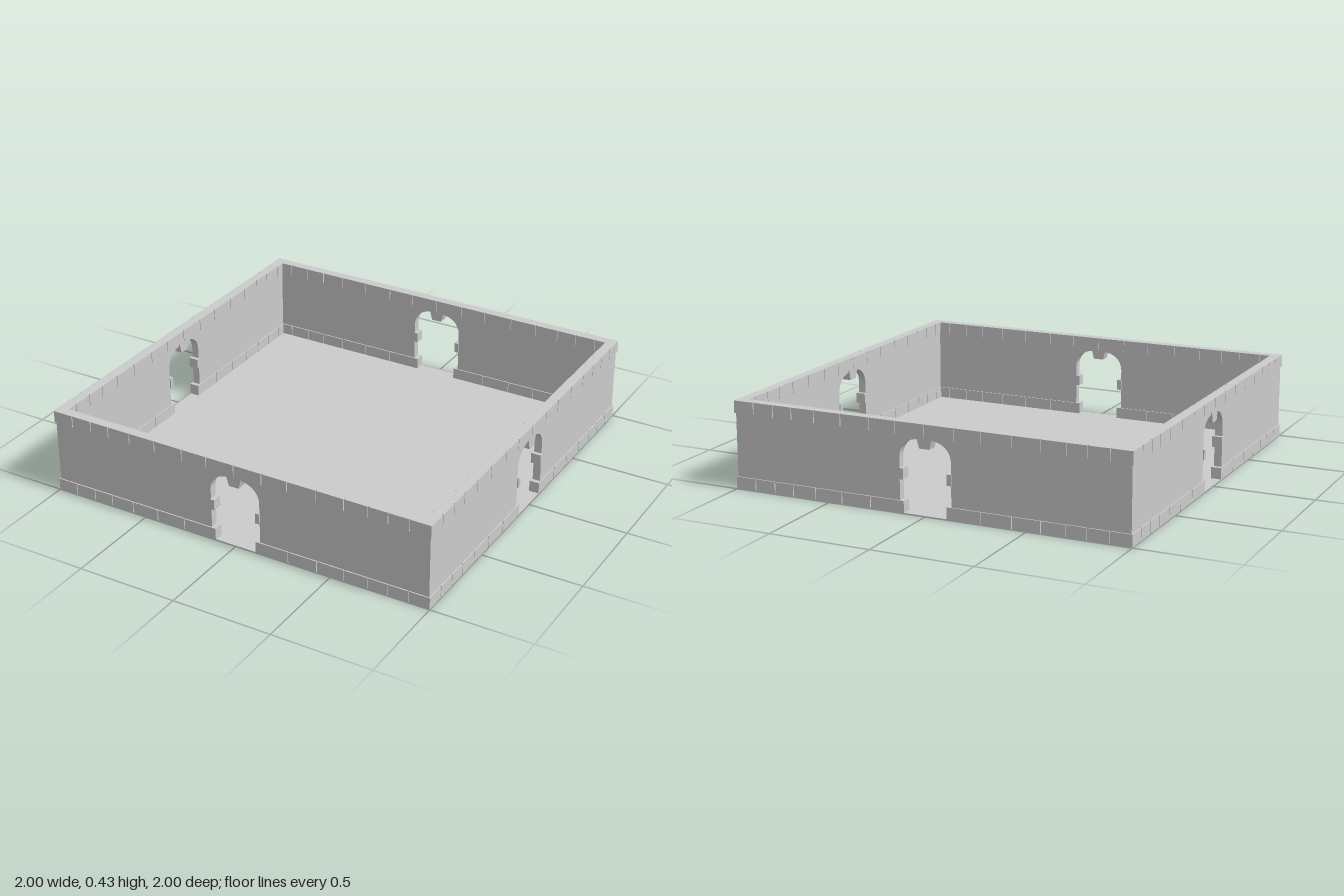
import * as THREE from 'three';

const H = 0.428, T = 0.05, INSET = 0.006, BAND = 0.06, GAP = 0.004;
const material = new THREE.MeshStandardMaterial({ color: 0xcccccc, flatShading: true });

function mesh(name, geometry, parent) {
  const m = new THREE.Mesh(geometry, material);
  m.name = name;
  parent.add(m);
  return m;
}

// Box between x0..x1 and y0..y1, spanning the full wall thickness
function stone(name, x0, x1, y0, y1, parent, depth = T) {
  const m = mesh(name, new THREE.BoxGeometry(x1 - x0, y1 - y0, depth), parent);
  m.position.set((x0 + x1) / 2, (y0 + y1) / 2, 0);
}

// Flat shape given depth, centred on z = 0
function slab(shape, depth) {
  const g = new THREE.ExtrudeGeometry(shape, { depth, bevelEnabled: false, curveSegments: 10 });
  return g.translate(0, 0, -depth / 2);
}

// One wall along x; it stops short at +x, where the next wall covers the corner
function createWall() {
  const wall = new THREE.Group();
  const core = T - 2 * INSET;

  // Recessed wall with an arched doorway cut up from the ground
  const l = -1 + INSET, r = 1 - T + INSET;
  const s = new THREE.Shape();
  s.moveTo(l, 0);
  s.lineTo(-0.13, 0);
  s.lineTo(-0.13, 0.265);
  s.bezierCurveTo(-0.13, 0.315, -0.09, 0.353, -0.035, 0.355);
  s.lineTo(0.035, 0.355);
  s.bezierCurveTo(0.09, 0.353, 0.13, 0.315, 0.13, 0.265);
  s.lineTo(0.13, 0);
  s.lineTo(r, 0);
  s.lineTo(r, H);
  s.lineTo(l, H);
  mesh('wallPanel', slab(s, core), wall);

  // Stone courses along the foot and the top, with narrow joints
  const half = [0.28, 0.43, 0.57, 0.69, 0.79, 0.895];
  const left = half.map(x => -x).reverse();
  const end = 1 - T;
  const course = (name, edges, y0, y1) => {
    for (let i = 0; i < edges.length - 1; i++) {
      const a = edges[i] + (i > 0 ? GAP / 2 : 0);
      const b = edges[i + 1] - (i < edges.length - 2 ? GAP / 2 : 0);
      stone(name, a, b, y0, y1, wall);
    }
  };
  course('topStone', [-1, ...left, -0.147, 0, 0.147, ...half, end], H - BAND, H);
  course('footStone', [-1, ...left, -0.108], 0, BAND);
  course('footStone', [0.108, ...half, end], 0, BAND);

  // Jamb stones halfway up the doorway
  for (const side of [-1, 1]) {
    const xs = [side * 0.11, side * 0.132].sort((a, b) => a - b);
    stone('jambStone', xs[0], xs[1], 0.16, 0.212, wall);
  }

  // Tapered keystone
  const k = new THREE.Shape();
  k.moveTo(-0.026, 0.315);
  k.lineTo(0.026, 0.315);
  k.lineTo(0.04, H - BAND);
  k.lineTo(-0.04, H - BAND);
  mesh('keystone', slab(k, T), wall);
  return wall;
}

export function createModel() {
  const model = new THREE.Group();
  model.name = 'walledCourtyard';

  const floor = mesh('floor', new THREE.BoxGeometry(1.998, 0.004, 1.998), model);
  floor.position.y = 0.002;

  // Four equal walls, each turned a quarter round the courtyard
  ['frontWall', 'leftWall', 'backWall', 'rightWall'].forEach((name, i) => {
    const side = new THREE.Group();
    side.name = name;
    const wall = createWall();
    wall.position.z = 1 - T / 2;
    side.add(wall);
    side.rotation.y = i * Math.PI / 2;
    model.add(side);
  });
  return model;
}
